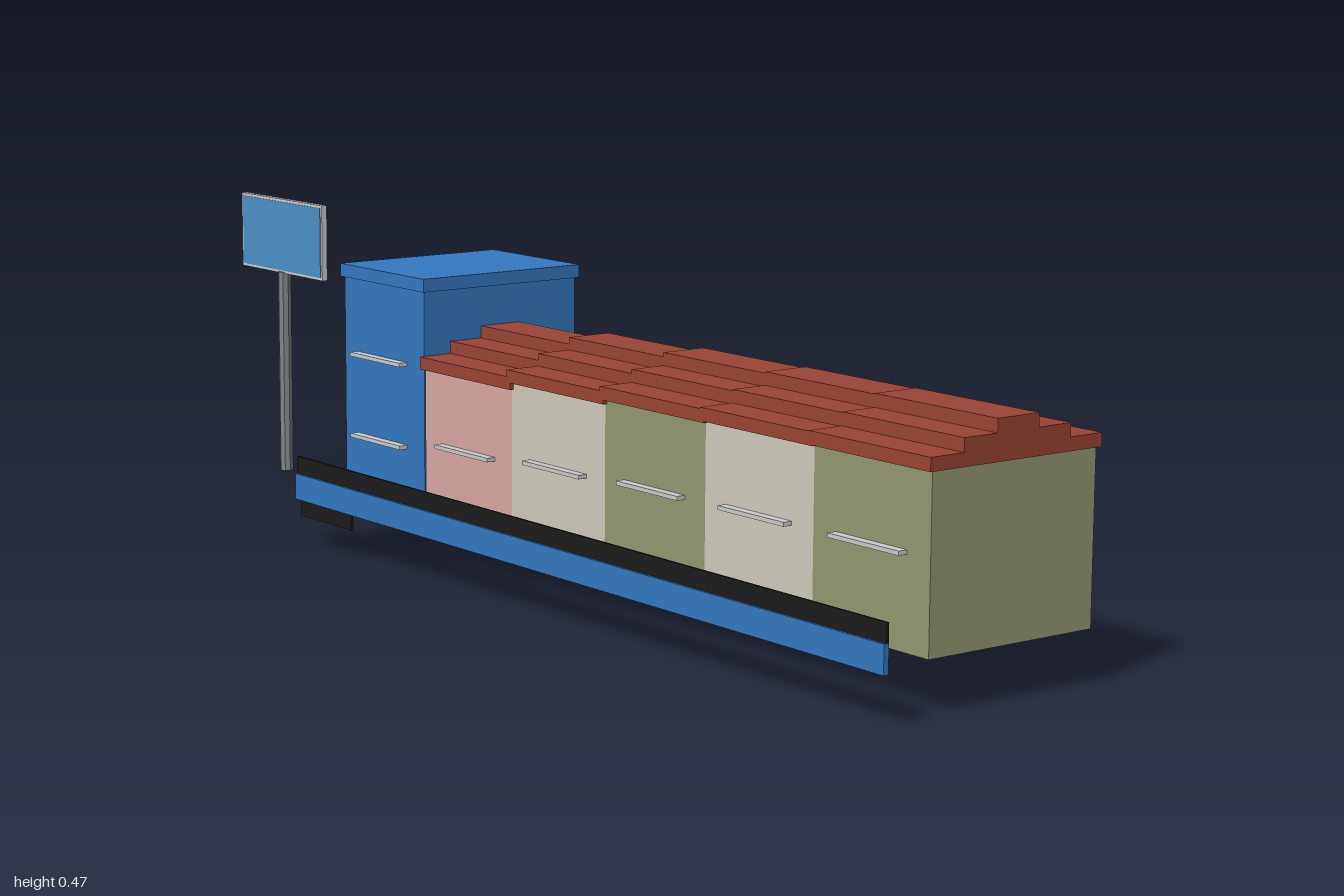
import * as THREE from 'three';

const mat = (color) => new THREE.MeshStandardMaterial({ color, flatShading: true });
const blue = mat(0x3277c0), signBlue = mat(0x4a90c8), black = mat(0x1c1c1c);
const green = mat(0x939872), cream = mat(0xd0cabb), pink = mat(0xd8a8a2);
const roofRed = mat(0x9a4434), grey = mat(0xcccccc), steel = mat(0x808488);

export function createModel() {
  const model = new THREE.Group();
  model.name = 'stationSet';

  // The whole set is turned slightly about the vertical axis
  const set = new THREE.Group();
  set.name = 'turnedSet';
  set.rotation.y = -0.1355;
  model.add(set);

  // Box given by its min and max on each axis
  const box = (name, material, [x0, x1], [y0, y1], [z0, z1], parent = set) => {
    const mesh = new THREE.Mesh(new THREE.BoxGeometry(x1 - x0, y1 - y0, z1 - z0), material);
    mesh.position.set((x0 + x1) / 2, (y0 + y1) / 2, (z0 + z1) / 2);
    mesh.name = name;
    parent.add(mesh);
    return mesh;
  };
  // Thin bar standing out from a front face
  const handle = (x, y, front, parent) =>
    box('handle', grey, [x - 0.068, x + 0.068], [y - 0.003, y + 0.003], [front - 0.002, front + 0.014], parent);

  // Tall blue tower with a flat cap
  const tower = new THREE.Group();
  tower.name = 'tower';
  set.add(tower);
  box('towerBody', blue, [-0.364, -0.147], [0.045, 0.413], [-0.208, 0.073], tower);
  box('towerCap', blue, [-0.369, -0.141], [0.413, 0.433], [-0.212, 0.078], tower);
  for (const y of [0.17, 0.297]) handle(-0.262, y, 0.073, tower);

  // Row of five sections, each under its own stepped roof
  const width = 0.223;
  const sections = [[0.057, pink], [0.067, cream], [0.073, green], [0.075, cream], [0.076, green]];
  sections.forEach(([base, material], i) => {
    const section = new THREE.Group();
    section.name = 'section' + (i + 1);
    set.add(section);
    const x0 = -0.141 + i * width, x1 = x0 + width, top = base + 0.24;
    box('sectionBody', material, [x0, x1], [base, top], [-0.208, 0.075], section);
    handle((x0 + x1) / 2, base + 0.13, 0.075, section);
    [0.148, 0.092, 0.036].forEach((half, tier) => {
      const y = top + tier * 0.0187;
      box('roofTier', roofRed, [x0 - 0.004, x1 + 0.004], [y, y + 0.0187], [-0.066 - half, -0.066 + half], section);
    });
  });

  // Long front rail with a black upper strip and a short foot
  box('rail', blue, [-0.378, 0.984], [0.07, 0.11], [0.1507, 0.1588]);
  box('railStrip', black, [-0.378, 0.984], [0.11, 0.137], [0.151, 0.155]);
  box('railFoot', black, [-0.368, -0.226], [0.045, 0.07], [0.151, 0.155]);

  // Sign on a post
  const sign = new THREE.Group();
  sign.name = 'sign';
  sign.position.set(-0.901, 0, -0.15);
  set.add(sign);
  const post = new THREE.Mesh(new THREE.CylinderGeometry(0.0115, 0.0115, 0.345, 8), steel);
  post.position.y = 0.1725;
  post.name = 'signPost';
  sign.add(post);
  box('signPanel', grey, [-0.1285, 0.1285], [0.343, 0.47], [-0.005, 0.005], sign);
  box('signFace', signBlue, [-0.124, 0.124], [0.3475, 0.4655], [0.004, 0.006], sign);

  return model;
}
